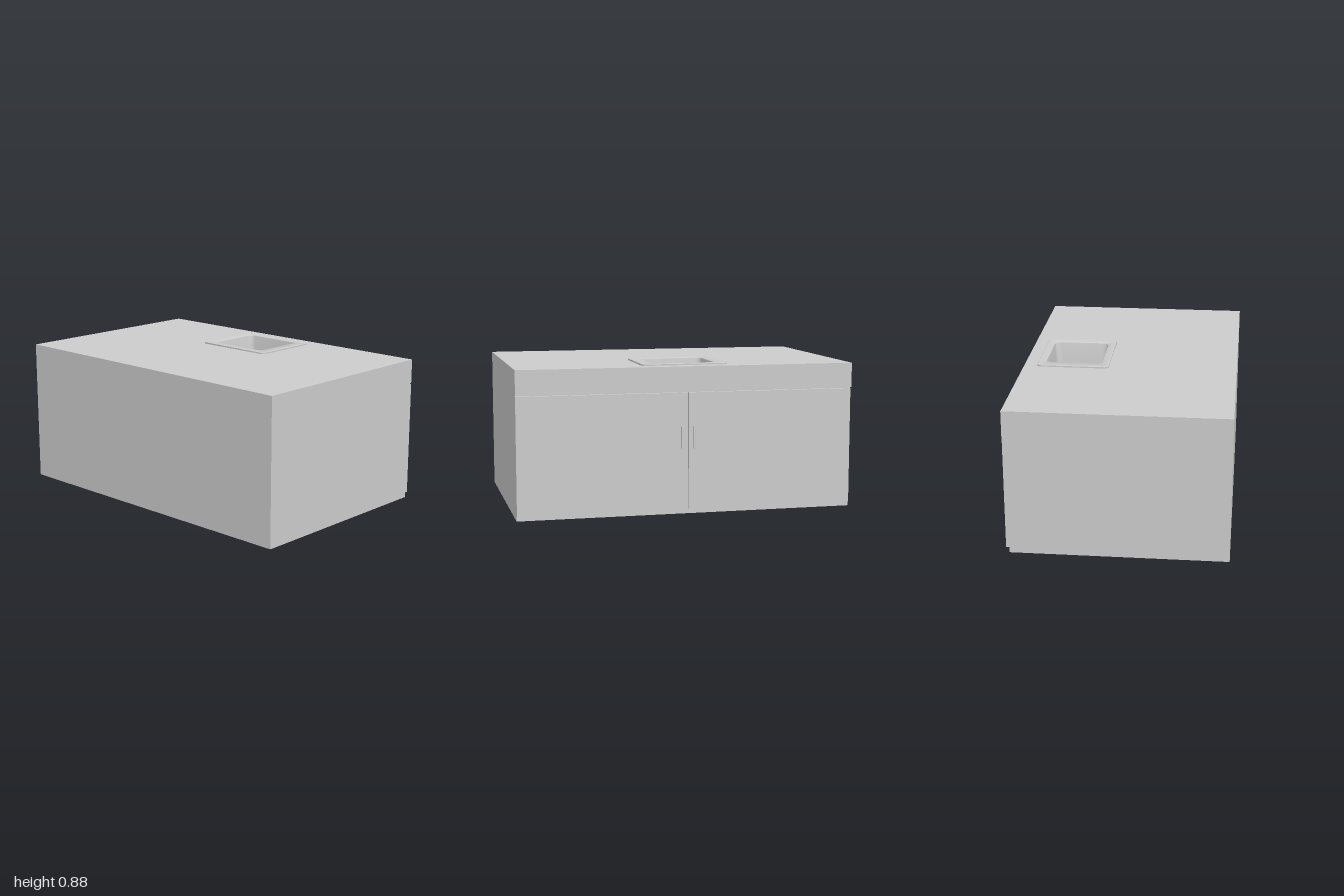
import * as THREE from 'three';
import { toCreasedNormals } from 'three/addons/utils/BufferGeometryUtils.js';
import { RoundedBoxGeometry } from 'three/addons/geometries/RoundedBoxGeometry.js';

const material = new THREE.MeshStandardMaterial({ color: 0xcccccc });
const thinMaterial = new THREE.MeshStandardMaterial({ color: 0xcccccc, side: THREE.DoubleSide });
const SINK_X = 0.335;

function addMesh(parent, name, geometry, mat = material) {
  const mesh = new THREE.Mesh(geometry, mat);
  mesh.name = name;
  parent.add(mesh);
  return mesh;
}

// Box given by its limits on each axis
function addBox(parent, name, [x0, x1], [y0, y1], [z0, z1]) {
  const mesh = addMesh(parent, name, new THREE.BoxGeometry(x1 - x0, y1 - y0, z1 - z0));
  mesh.position.set((x0 + x1) / 2, (y0 + y1) / 2, (z0 + z1) / 2);
  return mesh;
}

// Rounded rectangle ring, counter-clockwise seen from above
function ring({ w, d, r, y }, steps = 8) {
  const points = [];
  const signs = [[1, 1], [-1, 1], [-1, -1], [1, -1]];
  signs.forEach(([sx, sz], corner) => {
    for (let i = 0; i <= steps; i++) {
      const a = (corner + i / steps) * Math.PI / 2;
      points.push([sx * (w / 2 - r) + r * Math.cos(a), y, -(sz * (d / 2 - r) + r * Math.sin(a))]);
    }
  });
  return points;
}

// Skin a stack of rings and close the last one with a fan
function loft(sections) {
  const rings = sections.map((s) => ring(s));
  const positions = [];
  const n = rings[0].length;
  for (let i = 0; i < rings.length; i++) {
    for (let j = 0; j < n; j++) {
      const k = (j + 1) % n;
      const a = rings[i][j], b = rings[i][k];
      if (i === rings.length - 1) {
        positions.push(...a, ...b, 0, a[1] - 0.003, 0);
      } else {
        const c = rings[i + 1][k], d = rings[i + 1][j];
        positions.push(...a, ...b, ...c, ...a, ...c, ...d);
      }
    }
  }
  const geometry = new THREE.BufferGeometry();
  geometry.setAttribute('position', new THREE.Float32BufferAttribute(positions, 3));
  return toCreasedNormals(geometry, 0.6);
}

export function createModel() {
  const model = new THREE.Group();
  model.name = 'sinkCabinet';

  // Cabinet body, open beneath the worktop
  const body = new THREE.Group();
  body.name = 'cabinetBody';
  model.add(body);
  const t = 0.02;
  addBox(body, 'bottomPanel', [-0.645, 0.61], [0, t], [-1, 1]);
  addBox(body, 'backPanel', [-0.645, -0.645 + t], [t, 0.835], [-1, 1]);
  addBox(body, 'frontFrame', [0.61 - t, 0.61], [t, 0.835], [-1, 1]);
  for (const s of [1, -1]) {
    const z = s * (1 - t / 2);
    addBox(body, 'sidePanel', [-0.645 + t, 0.61 - t], [t, 0.835], [z - t / 2, z + t / 2]);
  }

  // Worktop with a cut-out for the basin
  const top = new THREE.Shape([[-0.645, -1], [0.63, -1], [0.63, 1], [-0.645, 1]].map(([x, z]) => new THREE.Vector2(x, z)));
  const hx = 0.185, hz = 0.21;
  top.holes.push(new THREE.Path([[-hx, -hz], [-hx, hz], [hx, hz], [hx, -hz]].map(([x, z]) => new THREE.Vector2(SINK_X + x, z))));
  const topGeometry = new THREE.ExtrudeGeometry(top, { depth: 0.03, bevelEnabled: false });
  topGeometry.rotateX(-Math.PI / 2).translate(0, 0.835, 0);
  addMesh(model, 'worktop', topGeometry);

  // Fascia and doors
  addBox(model, 'fascia', [0.61, 0.63], [0.72, 0.835], [-1, 1]);
  addBox(model, 'leftDoor', [0.61, 0.63], [0.03, 0.714], [0.003, 1]);
  addBox(model, 'rightDoor', [0.61, 0.63], [0.03, 0.714], [-0.994, -0.003]);

  // Door handles
  for (const z of [0.038, -0.033]) {
    const handle = addMesh(model, 'handle', new RoundedBoxGeometry(0.017, 0.132, 0.011, 2, 0.003));
    handle.position.set(0.6365, 0.455, z);
  }

  // Sink: raised rim, rounded lip, tapering bowl and coved floor
  const sink = new THREE.Group();
  sink.name = 'sink';
  sink.position.x = SINK_X;
  model.add(sink);
  const sections = [
    { w: 0.43, d: 0.51, r: 0.025, y: 0.865 },
    { w: 0.43, d: 0.51, r: 0.025, y: 0.873 },
    { w: 0.426, d: 0.506, r: 0.023, y: 0.875 },
    { w: 0.345, d: 0.39, r: 0.035, y: 0.875 },
    { w: 0.339, d: 0.384, r: 0.034, y: 0.873 },
    { w: 0.335, d: 0.38, r: 0.033, y: 0.867 },
  ];
  // Cove between walls and floor
  for (let i = 0; i <= 6; i++) {
    const a = i / 6 * Math.PI / 2, inset = 0.03 * (1 - Math.cos(a));
    sections.push({ w: 0.32 - 2 * inset, d: 0.365 - 2 * inset, r: 0.034 - inset * 0.6, y: 0.745 - 0.03 * Math.sin(a) });
  }
  addMesh(sink, 'basin', loft(sections), thinMaterial);

  // Drain with a cross strainer
  const drain = new THREE.Group();
  drain.name = 'drain';
  drain.position.y = 0.714;
  sink.add(drain);
  const flange = addMesh(drain, 'drainRing', new THREE.TorusGeometry(0.026, 0.004, 8, 32));
  flange.rotation.x = Math.PI / 2;
  addMesh(drain, 'drainPlate', new THREE.CylinderGeometry(0.026, 0.026, 0.003, 32));
  for (let i = 0; i < 3; i++) {
    const bar = addMesh(drain, 'strainerBar', new THREE.BoxGeometry(0.05, 0.004, 0.004));
    bar.position.y = 0.002;
    bar.rotation.y = i * Math.PI / 3;
  }
  return model;
}
